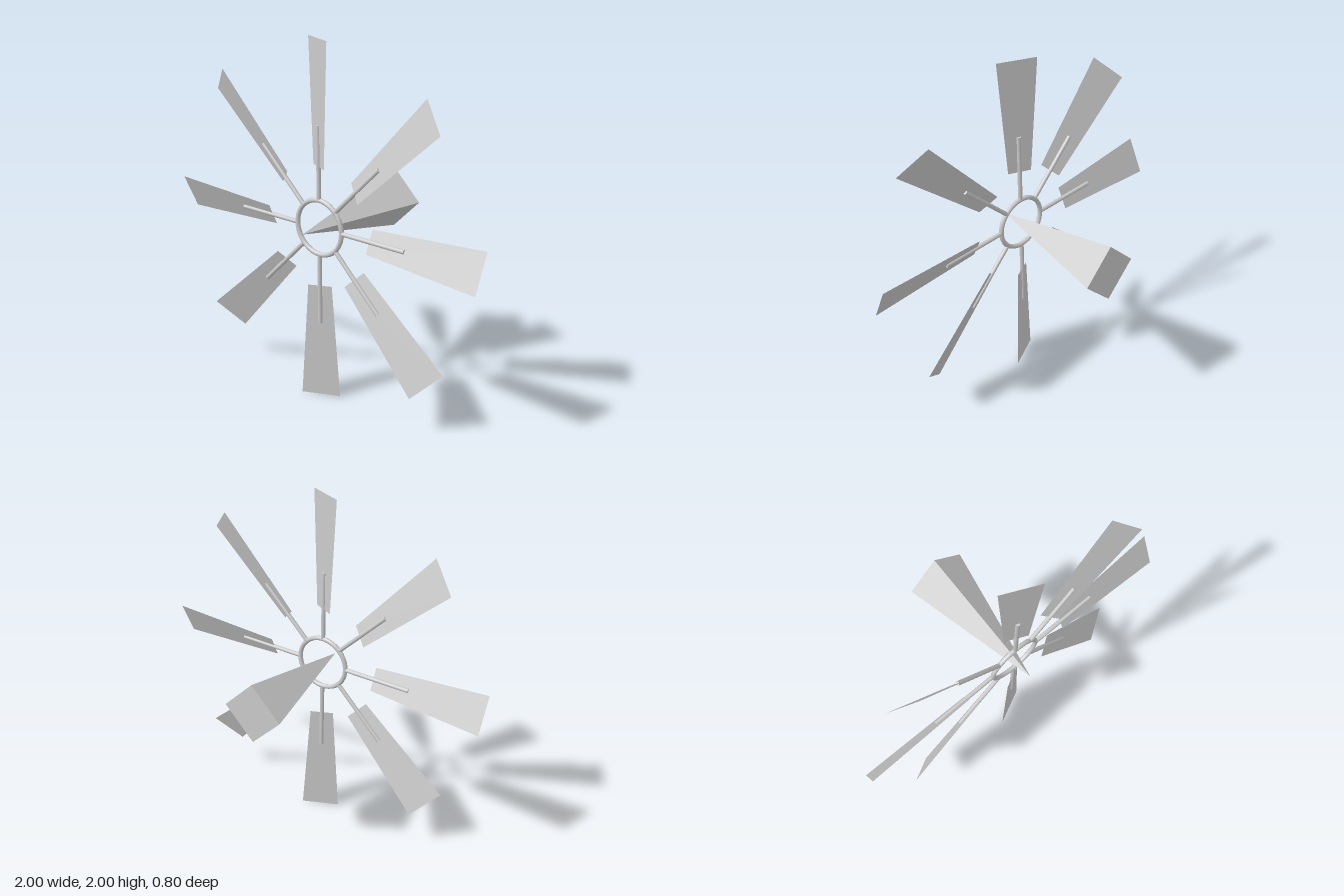
import * as THREE from 'three';

const BLADES = 8;
const PITCH = THREE.MathUtils.degToRad(25);

export function createModel() {
  const model = new THREE.Group();
  model.name = 'windWheel';

  const smooth = new THREE.MeshStandardMaterial({ color: 0xcccccc });
  const flat = new THREE.MeshStandardMaterial({ color: 0xcccccc, flatShading: true });
  const sheet = new THREE.MeshStandardMaterial({ color: 0xcccccc, side: THREE.DoubleSide });

  const add = (parent, name, geometry, material) => {
    const mesh = new THREE.Mesh(geometry, material);
    mesh.name = name;
    parent.add(mesh);
    return mesh;
  };

  // Four-sided pointed tail body, apex to the front, corners on the axes
  const body = add(model, 'tailCone', new THREE.ConeGeometry(0.175, 0.8, 4).rotateX(Math.PI / 2), flat);
  body.position.set(0, 1, 0);

  // Wheel: hub ring, spokes and pitched blades
  const wheel = new THREE.Group();
  wheel.name = 'wheel';
  wheel.position.set(0, 1, 0.267);
  model.add(wheel);

  add(wheel, 'hubRing', new THREE.TorusGeometry(0.152, 0.0135, 8, 40), smooth);

  // Flat tapered blade along +x, tilted about its own length
  const outline = new THREE.Shape([
    new THREE.Vector2(0.335, -0.066),
    new THREE.Vector2(1, -0.11),
    new THREE.Vector2(1, 0.11),
    new THREE.Vector2(0.335, 0.066),
  ]);
  const bladeGeometry = new THREE.ShapeGeometry(outline).rotateX(-PITCH);

  // Round spoke along +x from the ring into the blade
  const spokeGeometry = new THREE.CylinderGeometry(0.0125, 0.0125, 0.4, 10)
    .rotateZ(-Math.PI / 2)
    .translate(0.355, 0, 0);

  for (let i = 0; i < BLADES; i++) {
    const arm = new THREE.Group();
    arm.name = `arm${i + 1}`;
    arm.rotation.z = (i / BLADES) * Math.PI * 2;
    add(arm, 'spoke', spokeGeometry, smooth);
    add(arm, 'blade', bladeGeometry, sheet);
    wheel.add(arm);
  }

  return model;
}
